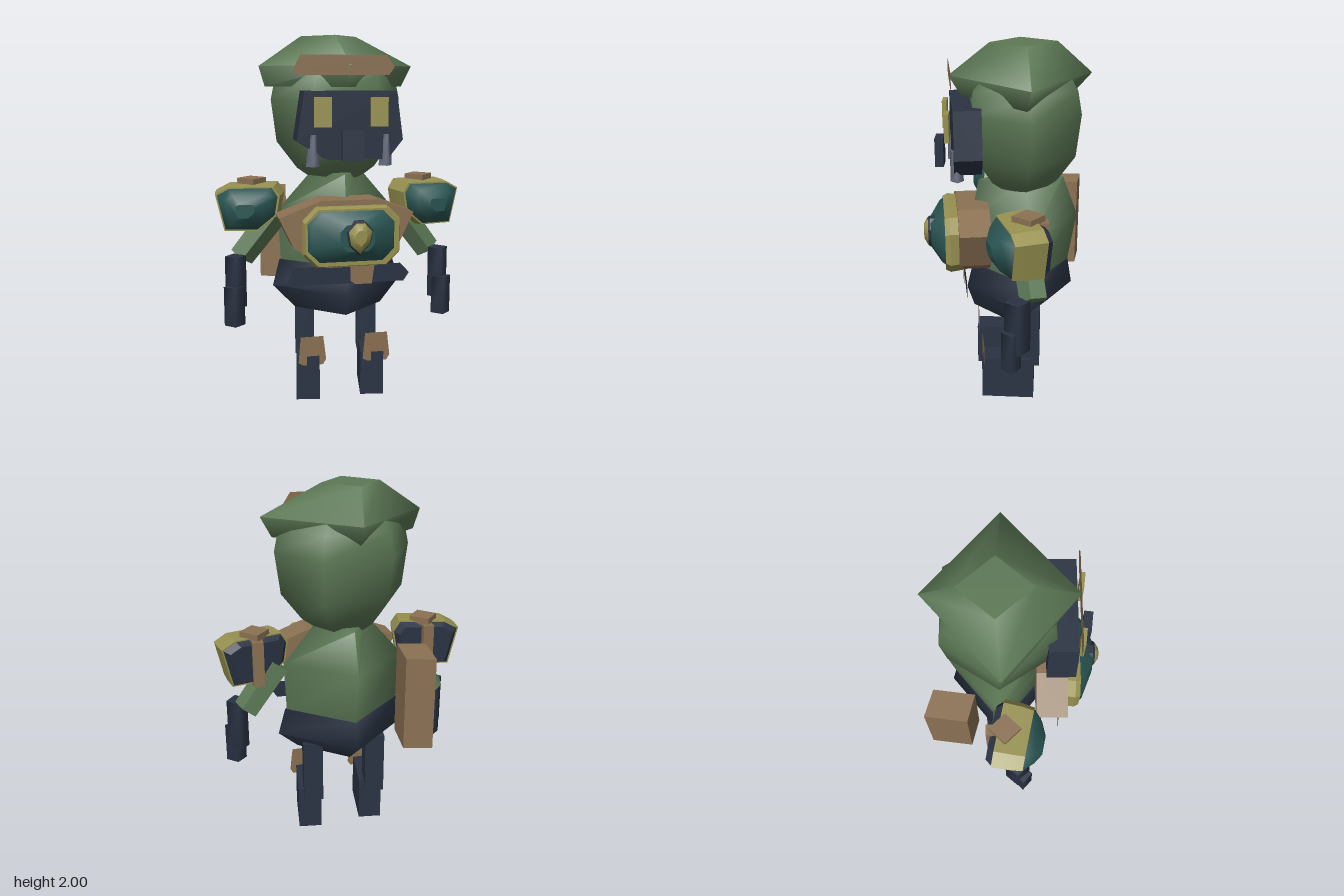
import * as THREE from 'three';
import { toCreasedNormals, mergeGeometries } from 'three/addons/utils/BufferGeometryUtils.js';

const material = (name, color, side = THREE.FrontSide) => {
  const m = new THREE.MeshStandardMaterial({ color, side });
  m.name = name;
  return m;
};

// Regular polygon ring around the vertical axis; first corner points to +z.
const ring = (n, y, cx, cz, rx, rz, phase = 0) =>
  Array.from({ length: n }, (_, i) => {
    const a = phase + (i / n) * Math.PI * 2;
    return [cx + rx * Math.sin(a), y, cz + rz * Math.cos(a)];
  });

// Upright chamfered rectangle facing +z.
const octagon = (z, cx, cy, w, h, c) =>
  [[w, -h + c], [w, h - c], [w - c, h], [-w + c, h], [-w, h - c], [-w, -h + c], [-w + c, -h], [w - c, -h]]
    .map(([x, y]) => [cx + x, cy + y, z]);

// Closed solid through a stack of equal-sized rings: creased sides, flat caps.
const SMOOTH = 1.75;
function loft(rings, crease = 0.3) {
  const n = rings[0].length, sides = [], caps = [];
  for (let r = 0; r < rings.length - 1; r++) {
    for (let i = 0; i < n; i++) {
      const j = (i + 1) % n, a = r * n, b = a + n;
      sides.push(a + i, a + j, b + j, a + i, b + j, b + i);
    }
  }
  const top = (rings.length - 1) * n;
  for (let i = 1; i < n - 1; i++) caps.push(0, i + 1, i, top, top + i, top + i + 1);
  const surface = (index, angle) => {
    const g = new THREE.BufferGeometry();
    g.setAttribute('position', new THREE.Float32BufferAttribute(rings.flat(2), 3));
    g.setIndex(index);
    return toCreasedNormals(g, angle);
  };
  return mergeGeometries([surface(sides, crease), surface(caps, 0.1)]);
}

// Straight prism through an outline in the xy plane.
const prism = (points, z0, z1) => loft([z0, z1].map((z) => points.map(([x, y]) => [x, y, z])));

const plate = (points) => new THREE.ShapeGeometry(new THREE.Shape(points.map((p) => new THREE.Vector2(...p))));

export function createModel() {
  const green = material('green', 0x5c7855);
  const tan = material('tan', 0x8b7153, THREE.DoubleSide);
  const gold = material('gold', 0x979150);
  const teal = material('teal', 0x2a5553);
  const navy = material('navy', 0x2a3343, THREE.DoubleSide);
  const grey = material('grey', 0x6c7384);

  const model = new THREE.Group();
  const add = (name, geometry, mat, parent = model, x = 0, y = 0, z = 0) => {
    const mesh = new THREE.Mesh(geometry, mat);
    mesh.name = name;
    mesh.position.set(x, y, z);
    parent.add(mesh);
    return mesh;
  };
  const box = (name, mat, x0, x1, y0, y1, z0, z1, turn = 0) => {
    const mesh = add(name, new THREE.BoxGeometry(x1 - x0, y1 - y0, z1 - z0), mat, model,
      (x0 + x1) / 2, (y0 + y1) / 2, (z0 + z1) / 2);
    mesh.rotation.y = turn;
  };

  // Head and hat
  const sixth = Math.PI / 6;
  add('head', loft([
    [1.2, 0.3], [1.28, 0.61], [1.43, 0.92], [1.66, 1], [1.78, 0.93], [1.85, 0.8],
  ].map(([y, s]) => ring(6, y, 0, -0.075, 0.365 * s, 0.33 * s, sixth)), SMOOTH), green);
  add('hat', loft([
    ring(4, 1.73, -0.015, -0.05, 0.385, 0.3),
    ring(4, 1.84, 0, -0.065, 0.43, 0.38),
    ring(4, 2, -0.04, -0.085, 0.155, 0.18),
  ], SMOOTH), green);
  add('browBand', plate([[-0.3, 1.81], [-0.27, 1.79], [0.2, 1.79], [0.23, 1.83], [0.19, 1.89], [-0.26, 1.89]]),
    tan, model, 0, 0, 0.308);

  // Face mask with eyes, snout and tusks
  add('mask', prism([[-0.28, 1.46], [-0.12, 1.36], [0.2, 1.36], [0.28, 1.46], [0.245, 1.71], [-0.24, 1.71]],
    0.16, 0.305), navy);
  box('rightEye', gold, -0.195, -0.105, 1.53, 1.68, 0.32, 0.345, -0.12);
  box('leftEye', gold, 0.1, 0.19, 1.53, 1.68, 0.32, 0.345, -0.12);
  box('snout', navy, -0.058, 0.053, 1.36, 1.515, 0.347, 0.393, -0.12);
  for (const [name, x] of [['rightTusk', -0.195], ['leftTusk', 0.19]]) {
    add(name, loft([
      ring(4, 1.325, x, 0.288, 0.036, 0.035),
      ring(4, 1.36, x, 0.29, 0.034, 0.033),
      ring(4, 1.49, x, 0.302, 0.018, 0.02),
    ], SMOOTH), grey);
  }

  // Four-sided torso and trousers, corners to the front, back and sides
  add('torso', loft([
    ring(4, 0.74, 0, -0.07, 0.32, 0.27),
    ring(4, 1.04, 0, -0.09, 0.335, 0.3),
    ring(4, 1.265, 0, -0.07, 0.14, 0.235),
  ], SMOOTH), green);
  add('trousers', loft([
    ring(4, 0.49, 0, -0.015, 0.25, 0.215),
    ring(4, 0.61, 0, -0.065, 0.37, 0.305),
    ring(4, 0.76, 0, -0.07, 0.33, 0.275),
  ], SMOOTH), navy);
  add('belt', plate([[-0.33, 0.7], [-0.3, 0.685], [0.31, 0.685], [0.34, 0.73], [0.29, 0.785], [-0.3, 0.785]]),
    navy, model, 0, 0, 0.255);
  add('buckle', plate([[0.01, 0.7], [0.04, 0.68], [0.13, 0.68], [0.145, 0.79], [0.01, 0.79]]),
    tan, model, 0, 0, 0.262);

  // Chest armour
  add('chestHarness', prism([
    [-0.3, 0.9], [-0.13, 0.785], [0.13, 0.785], [0.25, 0.86],
    [0.35, 1.07], [0.15, 1.145], [-0.15, 1.145], [-0.375, 1.06],
  ], 0.12, 0.29), tan);
  add('chestRim', loft([
    octagon(0.27, 0, 0.96, 0.25, 0.155, 0.07),
    octagon(0.335, 0, 0.96, 0.26, 0.16, 0.07),
    octagon(0.362, 0, 0.96, 0.25, 0.15, 0.07),
  ]), gold);
  add('chestPlate', loft([
    octagon(0.35, -0.008, 0.965, 0.24, 0.14, 0.065),
    octagon(0.38, -0.005, 0.967, 0.215, 0.125, 0.06),
    octagon(0.437, 0.01, 0.97, 0.09, 0.07, 0.035),
  ], SMOOTH), teal);
  const drop = (s, z) => [[0.02, 0.88], [0.075, 0.94], [0.09, 1.01], [0.045, 1.06], [-0.005, 1.06], [-0.05, 1.01], [-0.035, 0.93]]
    .map(([x, y]) => [0.02 + (x - 0.02) * s, 0.98 + (y - 0.98) * s, z]);
  add('gemSetting', loft([drop(1, 0.39), drop(1, 0.44), drop(0.9, 0.452)]), navy);
  add('gem', loft([drop(0.88, 0.445), drop(0.88, 0.455), drop(0.45, 0.475)], SMOOTH), gold);

  // Bedroll on the back
  const roll = [[-0.42, -0.25], [-0.27, -0.21], [-0.24, -0.435], [-0.39, -0.48]];
  add('bedroll', loft([0.62, 1.14].map((y) => roll.map(([x, z]) => [x, y, z]))), tan);

  // Shoulder outline: outward offset and height
  const pad = [[0.18, 0.085], [0.105, 0.125], [-0.16, 0.13], [-0.195, 0.075], [-0.175, -0.04], [-0.065, -0.13], [0.13, -0.13]];

  // Arms and legs, once per side
  for (const [label, s] of [['right', -1], ['left', 1]]) {
    const shoulder = new THREE.Group();
    shoulder.name = label + 'Shoulder';
    shoulder.position.set(s * 0.505, 1.08, -0.02);
    shoulder.rotation.y = s * 0.2;
    model.add(shoulder);
    const outline = s > 0 ? pad : [...pad].reverse();
    const padRing = (z, k) => outline.map(([x, y]) => [s * x * k, y * k, z]);
    add('shoulderRim', loft([padRing(-0.07, 1), padRing(0.03, 0.98), padRing(0.095, 0.93)]), gold, shoulder);
    add('shoulderPlate', loft([padRing(0.085, 0.87), padRing(0.1, 0.87), padRing(0.145, 0.62), padRing(0.178, 0.28)],
      SMOOTH), teal, shoulder);
    add('shoulderBacking', loft([padRing(-0.105, 0.8), padRing(-0.065, 0.97)]), navy, shoulder);
    add(label + 'ShoulderStrap', loft([
      ring(4, 1.19, s * 0.48, -0.05, 0.08, 0.085),
      ring(4, 1.235, s * 0.48, -0.05, 0.08, 0.085),
    ]), tan);
    box(label + 'StrapTail', tan, s * 0.48 - 0.03, s * 0.48 + 0.03, 0.95, 1.2, -0.15, -0.1);

    // Upper arm runs down and outward from the pad
    const from = new THREE.Vector3(s * 0.36, 1.03, -0.05), to = new THREE.Vector3(s * 0.545, 0.79, -0.075);
    const arm = add(label + 'UpperArm',
      toCreasedNormals(new THREE.CylinderGeometry(0.08, 0.075, from.distanceTo(to), 5), 0.4), green);
    arm.position.copy(from).lerp(to, 0.5);
    arm.quaternion.setFromUnitVectors(new THREE.Vector3(0, 1, 0), from.clone().sub(to).normalize());

    // Four-sided forearm and hand
    const post = (name, x, z, rx, rz, y0, y1) =>
      add(label + name, loft([ring(4, y0, x, z, rx, rz), ring(4, y1, x, z, rx, rz)], SMOOTH), navy);
    post('Forearm', s * 0.585, 0.017, 0.058, 0.068, 0.52, 0.81);
    post('Hand', s * 0.598, 0.05, 0.057, 0.052, 0.425, 0.645);

    // Leg, boot and knee patch, turned slightly
    const lx = s * 0.183;
    box(label + 'Leg', navy, lx - 0.055, lx + 0.055, 0.2, 0.56, -0.16, -0.03, -0.17);
    box(label + 'Boot', navy, lx - 0.065, lx + 0.065, 0, 0.252, -0.128, 0.167, -0.17);
    add(label + 'KneePatch', plate([[-0.078, 0.215], [-0.05, 0.2], [0.06, 0.2], [0.078, 0.23], [0.062, 0.365], [-0.065, 0.365]]),
      tan, model, lx, 0, 0.164);
  }
  return model;
}
